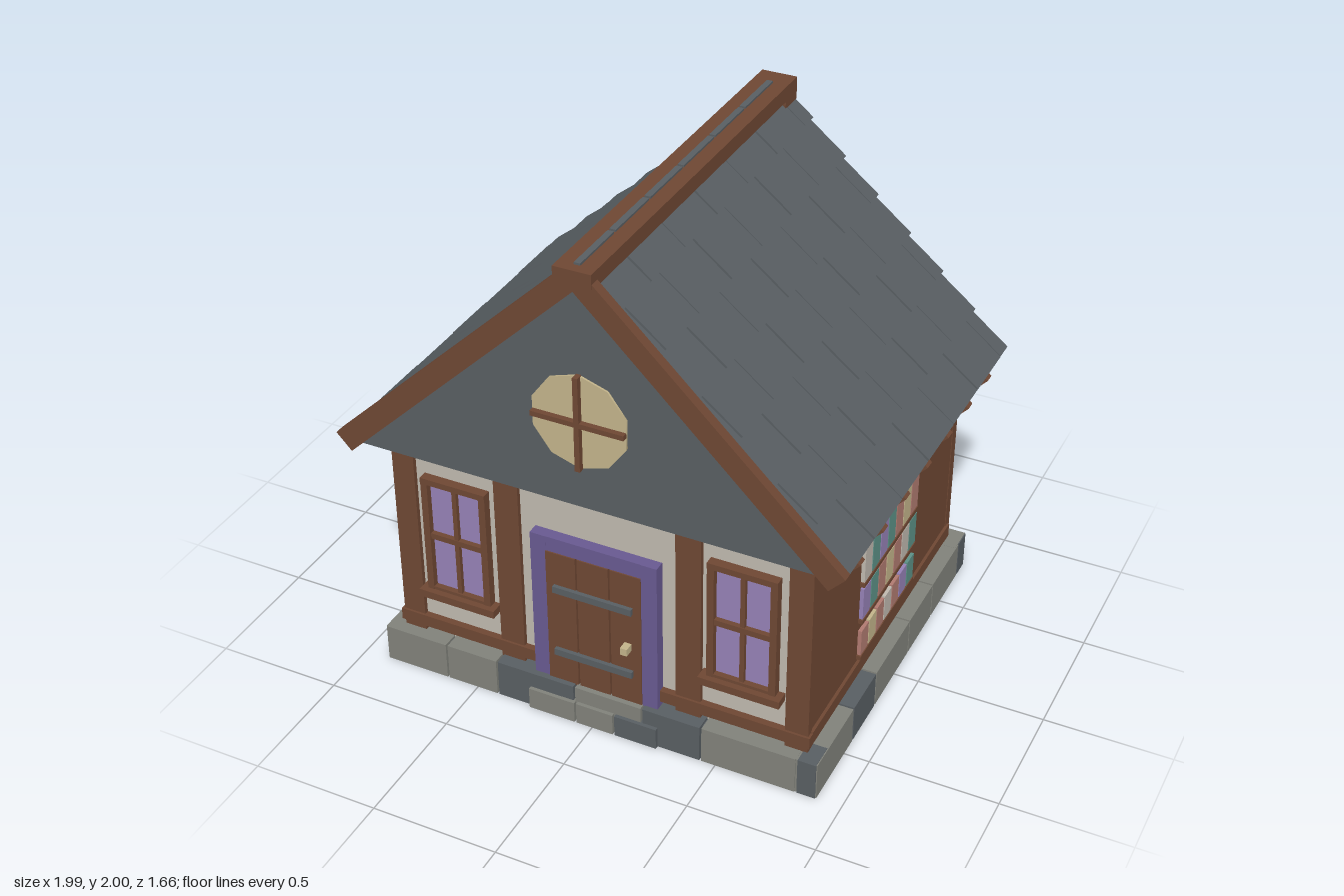
import * as THREE from 'three';

const mat = (name, color) => {
  const m = new THREE.MeshStandardMaterial({ color });
  m.name = name;
  return m;
};
const slate = mat('slate', 0x585e62), wood = mat('wood', 0x6e4733), plaster = mat('plaster', 0xbfb8ae);
const lilac = mat('lilac', 0x9580b5), purple = mat('purple', 0x685990), yellow = mat('pale yellow', 0xc2b38a);
const stone = mat('stone', 0x80817a), teal = mat('teal', 0x5c9086), rose = mat('rose', 0xb07a70);

export function createModel() {
  const root = new THREE.Group();
  root.name = 'cottage';
  const group = (name) => {
    const g = new THREE.Group();
    g.name = name;
    root.add(g);
    return g;
  };
  const add = (parent, name, geo, material) => {
    const m = new THREE.Mesh(geo, material);
    m.name = name;
    parent.add(m);
    return m;
  };
  // box given by its extents on each axis
  const box = (parent, name, material, [x0, x1], [y0, y1], [z0, z1]) => {
    const m = add(parent, name, new THREE.BoxGeometry(Math.abs(x1 - x0), y1 - y0, Math.abs(z1 - z0)), material);
    m.position.set((x0 + x1) / 2, (y0 + y1) / 2, (z0 + z1) / 2);
    return m;
  };
  // flat outline pushed from z0 to z1
  const prism = (parent, name, material, pts, z0, z1) => {
    const shape = new THREE.Shape(pts.map(([x, y]) => new THREE.Vector2(x, y)));
    const geo = new THREE.ExtrudeGeometry(shape, { depth: z1 - z0, bevelEnabled: false });
    add(parent, name, geo, material).position.z = z0;
  };

  // Foundation: core slab with a ring of blocks
  const base = group('foundation');
  box(base, 'slab', slate, [-0.87, 0.87], [0, 0.145], [-0.74, 0.74]);
  const G = 0.004;
  const blockRow = (cuts, darkOnes, place) => {
    for (let i = 0; i < cuts.length - 1; i++) {
      place([cuts[i] + G, cuts[i + 1] - G], darkOnes.includes(i) ? slate : stone);
    }
  };
  const frontCuts = [-0.9, -0.63, -0.41, -0.08, 0.2, 0.44, 0.82, 0.9];
  blockRow(frontCuts, [2, 4, 6], (r, m) => box(base, 'frontBlock', m, r, [0, 0.155], [0.66, 0.765]));
  blockRow([-0.9, -0.65, -0.4, -0.1, 0.14, 0.4, 0.64, 0.9], [2],
    (r, m) => box(base, 'backBlock', m, r, [0, 0.155], [-0.775, -0.66]));
  const sideCuts = [-0.775, -0.69, -0.395, -0.145, 0.2, 0.42, 0.765];
  blockRow(sideCuts, [0, 4], (r, m) => box(base, 'leftBlock', m, [0.8, 0.9], [0, 0.154], r));
  blockRow([-0.775, -0.5, -0.2, 0.1, 0.4, 0.765], [],
    (r, m) => box(base, 'rightBlock', m, [-0.9, -0.8], [0, 0.154], r));
  blockRow([-0.27, -0.07, 0.09, 0.27], [2],
    (r, m) => box(base, 'doorStep', m, r, [0, 0.09], [0.74, 0.78]));

  // Walls: plaster body, timber sides, posts and beams
  const walls = group('walls');
  box(walls, 'plasterBody', plaster, [-0.82, 0.82], [0.145, 1.03], [-0.7, 0.695]);
  for (const s of [-1, 1]) {
    box(walls, 'sidePanel', wood, [s * 0.8, s * 0.838], [0.15, 1.03], [-0.71, 0.7]);
    box(walls, 'sideFootBeam', wood, [s * 0.83, s * 0.85], [0.18, 0.235], [-0.7, 0.69]);
    box(walls, 'sideTopBeam', wood, [s * 0.83, s * 0.85], [0.98, 1.03], [-0.71, 0.7]);
    box(walls, 'frontFootBeam', wood, [s * 0.25, s * 0.85], [0.18, 0.23], [0.69, 0.722]);
    for (const [a, b] of [[0.75, 0.841], [0.315, 0.415]]) {
      box(walls, 'frontPost', wood, [s * a, s * b], [0.15, 1.03], [0.68, 0.713]);
      box(walls, 'backPost', wood, [s * a, s * b], [0.15, 1.03], [-0.723, -0.68]);
    }
  }
  box(walls, 'frontTopBeam', wood, [-0.845, 0.845], [0.98, 1.03], [0.68, 0.718]);

  // Front windows
  for (const s of [-1, 1]) {
    const w = group('frontWindow');
    w.position.x = s * 0.58;
    box(w, 'panes', lilac, [-0.12, 0.12], [0.39, 0.87], [0.69, 0.705]);
    for (const t of [-1, 1]) {
      box(w, 'jamb', wood, [t * 0.108, t * 0.135], [0.38, 0.89], [0.69, 0.73]);
    }
    box(w, 'mullion', wood, [-0.009, 0.009], [0.38, 0.89], [0.69, 0.722]);
    box(w, 'head', wood, [-0.135, 0.135], [0.865, 0.89], [0.69, 0.732]);
    box(w, 'middleRail', wood, [-0.11, 0.11], [0.618, 0.642], [0.69, 0.725]);
    box(w, 'bottomRail', wood, [-0.12, 0.12], [0.37, 0.395], [0.69, 0.728]);
    box(w, 'sill', wood, [-0.16, 0.16], [0.35, 0.382], [0.69, 0.752]);
  }

  // Door
  const door = group('door');
  box(door, 'backing', purple, [-0.2, 0.2], [0.15, 0.75], [0.69, 0.715]);
  for (const s of [-1, 1]) box(door, 'doorJamb', purple, [s * 0.192, s * 0.255], [0.15, 0.8], [0.69, 0.74]);
  box(door, 'doorHead', purple, [-0.255, 0.255], [0.738, 0.8], [0.69, 0.739]);
  for (const [a, b] of [[-0.192, -0.071], [-0.064, 0.062], [0.069, 0.192]]) {
    box(door, 'plank', wood, [a, b], [0.15, 0.738], [0.7, 0.744]);
  }
  for (const y of [0.28, 0.57]) box(door, 'strap', slate, [-0.16, 0.16], [y, y + 0.028], [0.74, 0.76]);
  box(door, 'knob', yellow, [0.125, 0.153], [0.4, 0.43], [0.74, 0.782]);

  // Bookshelves on the left side
  const shelf = group('bookshelf');
  const rows = [
    [0.606, 0.777, [plaster, teal, lilac, teal, rose, yellow, rose]],
    [0.436, 0.574, [lilac, teal, rose, yellow, rose, plaster, teal]],
    [0.266, 0.378, [rose, yellow, rose, plaster, rose, lilac, teal]],
  ];
  for (const [y0, y1, books] of rows) {
    box(shelf, 'shelfBoard', wood, [0.83, 0.857], [y0 - 0.018, y0], [-0.275, 0.262]);
    books.forEach((m, i) => {
      const z = 0.255 - i * 0.077;
      box(shelf, 'book', m, [0.83, 0.853], [y0, y1], [z - 0.069, z]);
    });
  }

  // Roof core with gables
  const roof = group('roof');
  prism(roof, 'gableBody', slate, [[-0.97, 1.03], [0.97, 1.03], [0, 1.95]], -0.83, 0.8);

  // Overlapping shingles in staggered rows
  const slope = Math.atan2(0.92, 0.97);
  const cutsA = [-0.83, -0.745, -0.487, -0.229, 0.029, 0.287, 0.545, 0.795];
  const cutsB = [-0.83, -0.56, -0.305, -0.05, 0.207, 0.465, 0.72, 0.795];
  const len = 0.215, tilt = 0.085;
  for (const s of [-1, 1]) {
    for (let k = 0; k < 7; k++) {
      const xLow = 0.972 - k * 0.14;
      const cuts = k % 2 ? cutsB : cutsA;
      const rowLen = k === 6 ? 0.14 : len;
      const a = slope - tilt;
      for (let i = 0; i < cuts.length - 1; i++) {
        const lift = 0.011 + (i % 2) * 0.002;
        const geo = new THREE.BoxGeometry(rowLen, 0.02, cuts[i + 1] - cuts[i] - 0.008);
        const t = add(roof, 'shingle', geo, slate);
        const x = xLow + lift * Math.sin(slope) - Math.cos(a) * rowLen / 2;
        const y = 1.95 - 0.948 * xLow + lift * Math.cos(slope) + Math.sin(a) * rowLen / 2;
        t.position.set(s * x, y, (cuts[i] + cuts[i + 1]) / 2);
        t.rotation.z = -s * a;
      }
    }
    // Rafter tails under the eaves
    for (let i = 0; i < 7; i++) {
      const r = add(roof, 'rafterTail', new THREE.BoxGeometry(0.16, 0.045, 0.042), wood);
      r.position.set(s * 0.907, 1.04, 0.633 - i * 0.213);
      r.rotation.z = -s * slope;
    }
  }

  // Front bargeboards and ridge
  prism(roof, 'bargeboard', wood, [
    [0, 1.91], [0.935, 1.0], [0.995, 1.064], [0.035, 1.99],
    [-0.035, 1.99], [-0.995, 1.064], [-0.935, 1.0],
  ], 0.785, 0.825);
  box(roof, 'ridgeBeam', wood, [-0.072, 0.072], [1.93, 1.992], [-0.83, 0.828]);
  box(roof, 'ridgeEnd', wood, [-0.071, 0.071], [1.9, 1.94], [-0.832, -0.73]);
  for (let i = 1; i < cutsA.length - 1; i++) {
    box(roof, 'ridgeStrip', slate, [-0.012, 0.012], [1.985, 2], [cutsA[i] + 0.006, cutsA[i + 1] - 0.006]);
  }

  // Round gable window
  const round = group('roundWindow');
  const disc = add(round, 'roundPane', new THREE.CylinderGeometry(0.19, 0.19, 0.02, 10), yellow);
  disc.rotation.x = Math.PI / 2;
  disc.rotation.y = Math.PI;
  disc.position.set(0, 1.388, 0.798);
  box(round, 'uprightBar', wood, [-0.01, 0.01], [1.198, 1.578], [0.8, 0.83]);
  box(round, 'crossBar', wood, [-0.18, 0.18], [1.378, 1.398], [0.8, 0.829]);

  return root;
}
